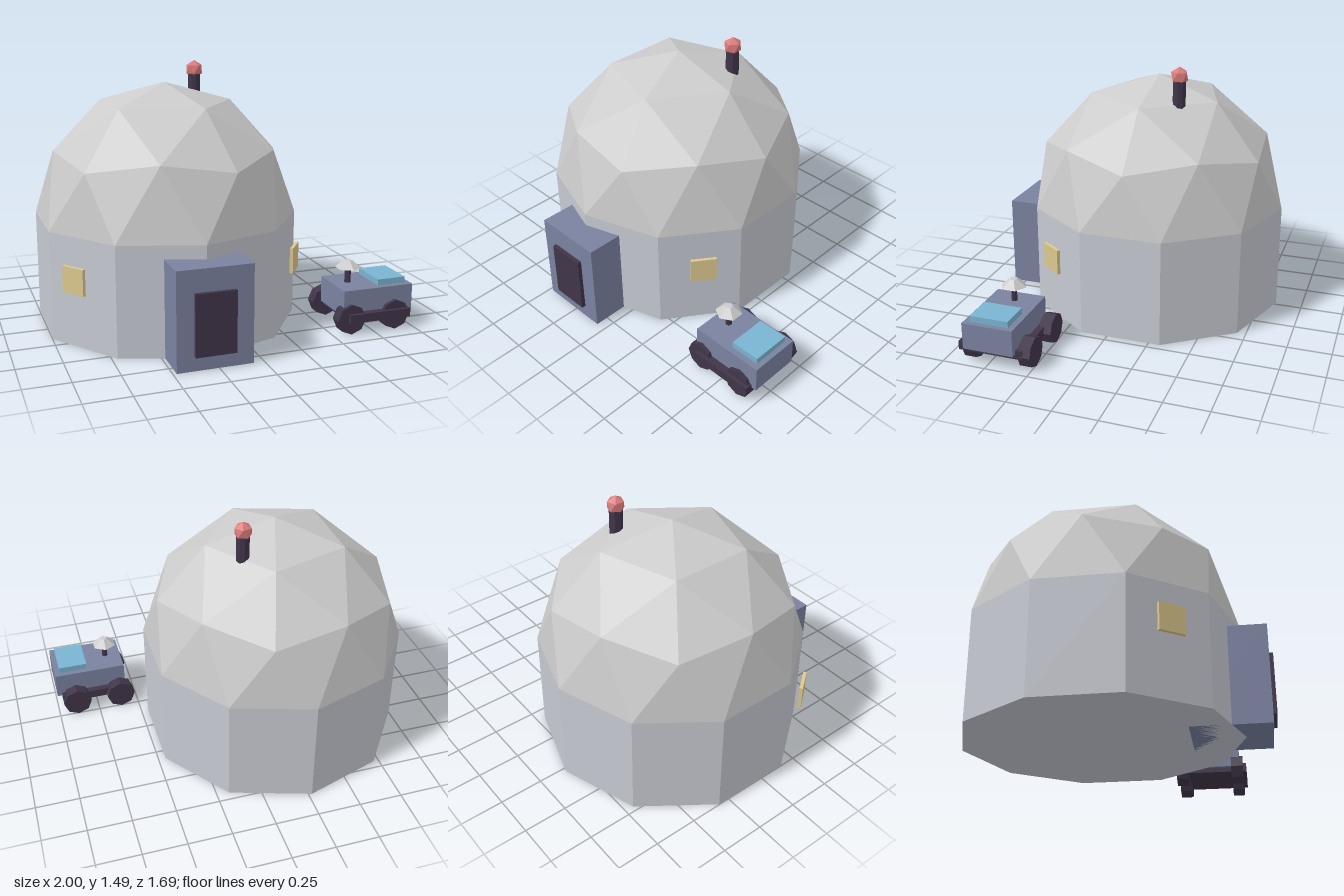
import * as THREE from 'three';

const mat = (color) => new THREE.MeshStandardMaterial({ color, flatShading: true });
const GREY = mat(0xcccccc), WALL = mat(0xc6c9d1), BLUE = mat(0x7a82a0), DARK = mat(0x40354a);
const GLASS = mat(0x7ab4d0), AMBER = mat(0xdcc88e), RED = mat(0xdc7c7c);

const DOME = { x: -0.27, z: -0.08, r: 0.765, wall: 0.62 };

function add(parent, name, geometry, material, x, y, z) {
  const mesh = new THREE.Mesh(geometry, material);
  mesh.name = name;
  mesh.position.set(x, y, z);
  parent.add(mesh);
  return mesh;
}

// Box given by its min and max corners
function addBox(parent, name, material, [x0, y0, z0], [x1, y1, z1]) {
  const geometry = new THREE.BoxGeometry(x1 - x0, y1 - y0, z1 - z0);
  return add(parent, name, geometry, material, (x0 + x1) / 2, (y0 + y1) / 2, (z0 + z1) / 2);
}

// Icosphere turned so that one vertex points up and a neighbour leans to +x
function uprightIcosphere(radius, detail) {
  const golden = (1 + Math.sqrt(5)) / 2;
  return new THREE.IcosahedronGeometry(radius, detail)
    .rotateX(-Math.atan(golden))
    .rotateY(Math.PI / 2);
}

// Keep only the triangles above the equator
function upperHalf(geometry) {
  const p = geometry.attributes.position;
  const kept = [];
  for (let i = 0; i < p.count; i += 3) {
    if (Math.min(p.getY(i), p.getY(i + 1), p.getY(i + 2)) < -1e-3) continue;
    for (let j = i; j < i + 3; j++) kept.push(p.getX(j), p.getY(j), p.getZ(j));
  }
  const half = new THREE.BufferGeometry();
  half.setAttribute('position', new THREE.Float32BufferAttribute(kept, 3));
  half.computeVertexNormals();
  return half;
}

function createHabitat() {
  const habitat = new THREE.Group();
  habitat.name = 'habitat';
  const { x, z, r, wall } = DOME;

  // Ten-sided wall with a faceted dome on top
  add(habitat, 'wall', new THREE.CylinderGeometry(r, r, wall, 10), WALL, x, wall / 2, z);
  add(habitat, 'dome', upperHalf(uprightIcosphere(r, 1)), GREY, x, wall, z);

  // Entrance block and door
  addBox(habitat, 'entrance', BLUE, [-0.48, 0, 0.4], [-0.06, 0.545, 0.825]);
  addBox(habitat, 'door', DARK, [-0.385, 0.08, 0.805], [-0.16, 0.42, 0.848]);

  // Windows standing off the two front side walls
  for (const side of [-1, 1]) {
    const pane = add(habitat, side > 0 ? 'leftWindow' : 'rightWindow',
      new THREE.BoxGeometry(0.148, 0.148, 0.019), AMBER, x + side * 0.637, 0.398, 0.367);
    pane.rotation.y = side * THREE.MathUtils.degToRad(54);
  }

  // Antenna with beacon
  add(habitat, 'antennaMast', new THREE.CylinderGeometry(0.038, 0.038, 0.17, 8), DARK, -0.025, 1.325, -0.27);
  add(habitat, 'beacon', uprightIcosphere(0.054, 0), RED, -0.025, 1.434, -0.27);
  return habitat;
}

function createRover() {
  const rover = new THREE.Group();
  rover.name = 'rover';
  addBox(rover, 'roverBody', BLUE, [0.565, 0.1, 0.328], [0.998, 0.252, 0.622]);
  addBox(rover, 'chassis', DARK, [0.588, 0.072, 0.288], [0.968, 0.122, 0.665]);
  addBox(rover, 'canopy', GLASS, [0.795, 0.24, 0.362], [0.968, 0.287, 0.587]);

  // Four octagonal wheels
  const wheel = new THREE.CylinderGeometry(0.0865, 0.0865, 0.07, 8).rotateX(Math.PI / 2);
  for (const x of [0.607, 0.883])
    for (const z of [0.28, 0.61]) add(rover, 'wheel', wheel, DARK, x, 0.0865, z);

  // Mast with a six-sided dish
  add(rover, 'dishMast', new THREE.CylinderGeometry(0.018, 0.018, 0.11, 6), DARK, 0.66, 0.295, 0.472);
  add(rover, 'dish', new THREE.CylinderGeometry(0.022, 0.075, 0.044, 6), GREY, 0.66, 0.363, 0.472);
  return rover;
}

export function createModel() {
  const model = new THREE.Group();
  model.name = 'domeBase';
  model.add(createHabitat(), createRover());
  return model;
}
